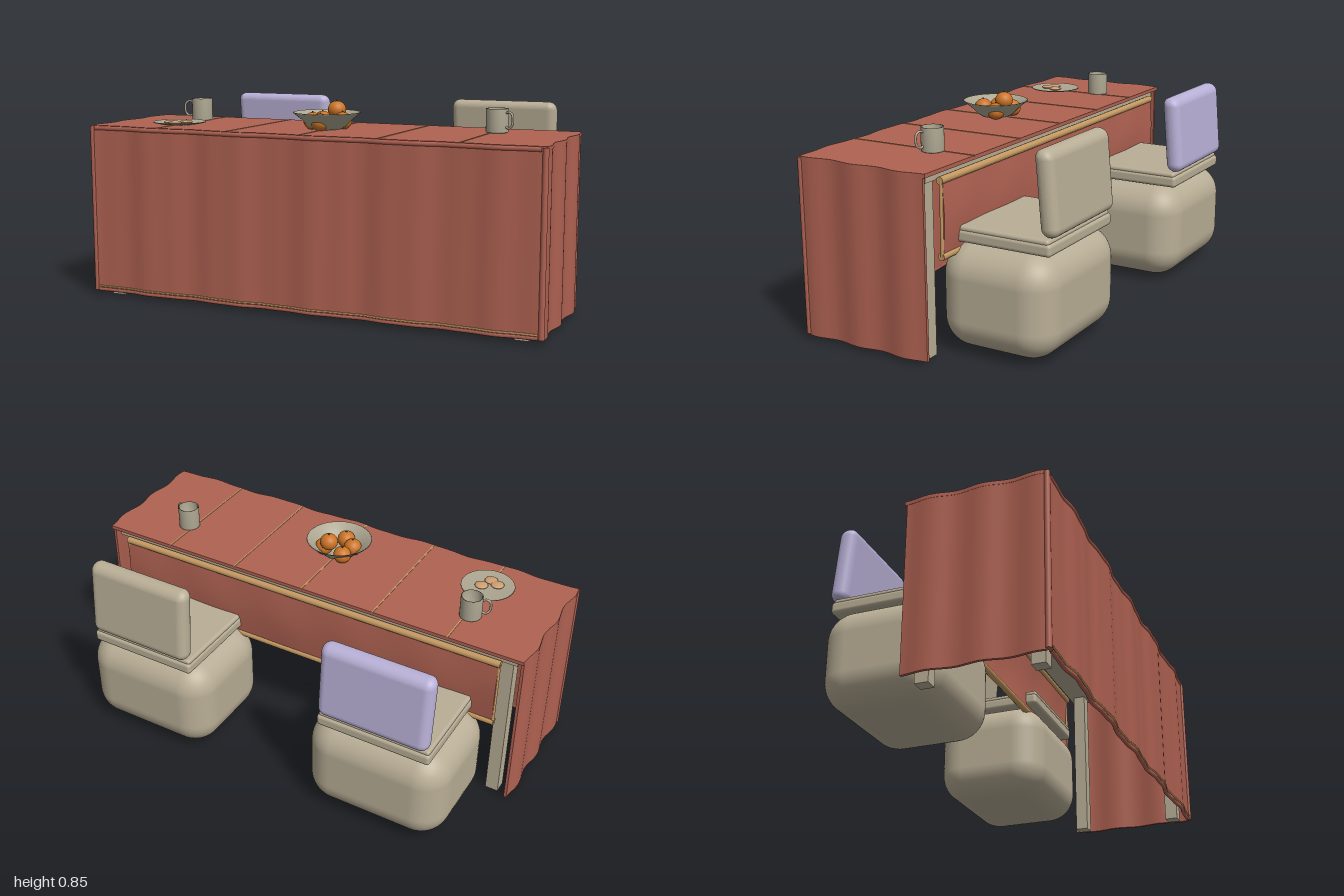
import * as THREE from 'three';
import { RoundedBoxGeometry } from 'three/addons/geometries/RoundedBoxGeometry.js';

const material = (name, color, side = THREE.FrontSide) => {
  const m = new THREE.MeshStandardMaterial({ color, side });
  m.name = name;
  return m;
};

export function createModel() {
  const root = new THREE.Group();
  root.name = 'diningSet';
  const red = material('terracotta cloth', 0xb06252);
  const beige = material('beige upholstery', 0xb9ae96);
  const lavender = material('lavender upholstery', 0xb8b0d6);
  const stone = material('stoneware', 0xada691, THREE.DoubleSide);
  const orange = material('orange peel', 0xcc7426);
  const tan = material('tan trim', 0xc69a62);
  const biscuit = material('biscuit', 0xcf9f72);
  const leaf = material('olive stem', 0x6b5a2c);

  const add = (parent, name, geometry, mat, x = 0, y = 0, z = 0) => {
    const mesh = new THREE.Mesh(geometry, mat);
    mesh.name = name;
    mesh.position.set(x, y, z);
    parent.add(mesh);
    return mesh;
  };
  // Moves every vertex of a geometry by a rule
  const warp = (geometry, rule) => {
    const p = geometry.attributes.position;
    const v = new THREE.Vector3();
    for (let i = 0; i < p.count; i++) {
      rule(v.fromBufferAttribute(p, i));
      p.setXYZ(i, v.x, v.y, v.z);
    }
    geometry.computeVertexNormals();
    return geometry;
  };
  const frontWave = x => 0.006 * Math.sin(x * 17 + 0.6) + 0.002 * Math.sin(x * 41);
  const sideWave = z => 0.007 * Math.sin(z * 30 + 0.8);

  // Table frame: board and four legs
  const table = new THREE.Group();
  table.name = 'table';
  root.add(table);
  add(table, 'tableBoard', new THREE.BoxGeometry(1.9, 0.03, 0.53), beige, 0, 0.705, 0.2);
  for (const x of [-0.9, 0.9])
    for (const z of [-0.015, 0.425])
      add(table, 'tableLeg', new THREE.BoxGeometry(0.055, 0.7, 0.055), beige, x, 0.35, z);

  // Cloth top with rippled front and side edges
  add(table, 'clothTop', warp(new THREE.BoxGeometry(1.97, 0.016, 0.57, 80, 1, 30), v => {
    const { x, z } = v;
    v.z += 0.2 + (z > 0.28 ? frontWave(x) + 0.004 : 0);
    if (Math.abs(x) > 0.98) v.x += Math.sign(x) * (sideWave(z + 0.2) + 0.002);
  }), red, 0, 0.727, 0);

  // Hanging cloth at the front and both ends
  add(table, 'frontCloth', warp(new THREE.BoxGeometry(1.96, 0.7, 0.012, 90, 1, 1), v => {
    v.z += 0.484 + frontWave(v.x);
  }), red, 0, 0.37, 0);
  for (const s of [-1, 1]) {
    add(table, 'sideCloth', warp(new THREE.BoxGeometry(0.012, 0.715, 0.55, 1, 1, 40), v => {
      v.x += s * (0.98 + sideWave(v.z + 0.2));
    }), red, 0, 0.3725, 0.2);
    add(table, 'cornerHem', new THREE.CylinderGeometry(0.012, 0.012, 0.71, 12), red, s * 0.984, 0.375, 0.483);
  }

  // Hems along the front cloth
  const hem = (name, y, radius, offset, mat) => {
    const points = [];
    for (let i = 0; i <= 80; i++) {
      const x = -0.97 + (1.94 * i) / 80;
      points.push(new THREE.Vector3(x, y, 0.485 + offset + frontWave(x)));
    }
    add(table, name, new THREE.TubeGeometry(new THREE.CatmullRomCurve3(points), 120, radius, 8), mat);
  };
  hem('bottomHem', 0.024, 0.009, 0, red);
  hem('hemStitch', 0.037, 0.004, 0.006, tan);
  hem('topHem', 0.724, 0.01, 0.002, red);

  // Seams across the top
  for (let i = -2; i <= 2; i++)
    add(table, 'topSeam', new THREE.BoxGeometry(0.006, 0.004, 0.575), tan, i * 0.33, 0.735, 0.2);

  // Back drape hung between two rails
  add(table, 'backDrape', warp(new THREE.BoxGeometry(1.77, 0.29, 0.01, 80, 10, 1), v => {
    const bulge = Math.cos((v.y / 0.29) * Math.PI);
    v.z -= 0.086 + bulge * (0.01 + 0.003 * Math.sin(v.x * 18));
  }), red, 0, 0.545, 0);
  for (const y of [0.4, 0.69]) {
    const rail = add(table, 'drapeRail', new THREE.CylinderGeometry(0.015, 0.015, 1.78, 12), tan, 0, y, -0.085);
    rail.rotation.z = Math.PI / 2;
  }
  for (const x of [-0.885, 0.885])
    add(table, 'drapeEdge', new THREE.CylinderGeometry(0.007, 0.007, 0.29, 8), tan, x, 0.545, -0.088);

  // Two upholstered chairs
  for (const s of [-1, 1]) {
    const chair = new THREE.Group();
    chair.name = s < 0 ? 'rightChair' : 'leftChair';
    chair.position.set(s * 0.547, 0, 0);
    root.add(chair);
    add(chair, 'chairBase', new RoundedBoxGeometry(0.61, 0.415, 0.49, 8, 0.125), beige, 0, 0.2225, -0.26);
    add(chair, 'seat', new RoundedBoxGeometry(0.49, 0.05, 0.45, 4, 0.015), beige, 0, 0.457, -0.262);
    add(chair, 'seatPad', new RoundedBoxGeometry(0.48, 0.025, 0.44, 4, 0.012), beige, 0, 0.484, -0.258);
    // Backrest leans forward and bows slightly backward
    add(chair, 'backrest', warp(new RoundedBoxGeometry(0.475, 0.325, 0.075, 6, 0.036), v => {
      v.z += v.y * 0.09 - 0.006 * Math.cos((v.y / 0.325) * Math.PI);
    }), s < 0 ? lavender : beige, 0, 0.66, -0.456);
  }

  const lathe = (pairs, segments = 40) =>
    new THREE.LatheGeometry(pairs.map(([r, y]) => new THREE.Vector2(r, y)), segments);

  // Mugs with loop handles
  for (const s of [-1, 1]) {
    const mug = new THREE.Group();
    mug.name = 'mug';
    mug.position.set(s * 0.68, 0.736, 0.09);
    mug.rotation.y = s > 0 ? -0.35 : Math.PI + 0.35;
    root.add(mug);
    add(mug, 'mugBody', lathe([[0, 0], [0.042, 0], [0.045, 0.004], [0.045, 0.096], [0.04, 0.096], [0.04, 0.008], [0, 0.008]]), stone);
    const handle = new THREE.CatmullRomCurve3([
      [0.042, 0.08], [0.06, 0.084], [0.074, 0.072], [0.074, 0.035], [0.06, 0.02], [0.042, 0.024],
    ].map(([x, y]) => new THREE.Vector3(x, y, 0)));
    add(mug, 'mugHandle', new THREE.TubeGeometry(handle, 24, 0.005, 8), stone);
  }

  // Plate of biscuits
  const plate = new THREE.Group();
  plate.name = 'biscuitPlate';
  plate.position.set(-0.66, 0.736, 0.31);
  root.add(plate);
  add(plate, 'plate', lathe([[0, 0], [0.07, 0], [0.112, 0.009], [0.11, 0.013], [0.068, 0.005], [0, 0.005]]), stone);
  for (const [x, z] of [[-0.033, 0.022], [0.002, 0.04], [0.024, -0.012]])
    add(plate, 'biscuit', new THREE.SphereGeometry(0.028, 20, 12), biscuit, x, 0.01, z).scale.y = 0.3;

  // Bowl of oranges
  const bowl = new THREE.Group();
  bowl.name = 'fruitBowl';
  bowl.position.set(0, 0.736, 0.235);
  root.add(bowl);
  add(bowl, 'bowl', lathe([[0, 0], [0.06, 0], [0.078, 0.012], [0.105, 0.04], [0.14, 0.068], [0.136, 0.07], [0.1, 0.044], [0.073, 0.016], [0.056, 0.006], [0, 0.006]]), stone);
  for (const [x, y, z] of [[-0.045, 0.032, -0.055], [0.02, 0.076, -0.055], [0.055, 0.032, -0.035], [-0.055, 0.032, 0.02], [0, 0.032, 0.063]]) {
    add(bowl, 'orange', new THREE.SphereGeometry(0.038, 24, 16), orange, x, y, z).scale.y = 0.95;
    add(bowl, 'orangeStem', new THREE.CylinderGeometry(0.004, 0.003, 0.006, 6), leaf, x, y + 0.037, z);
  }
  return root;
}
